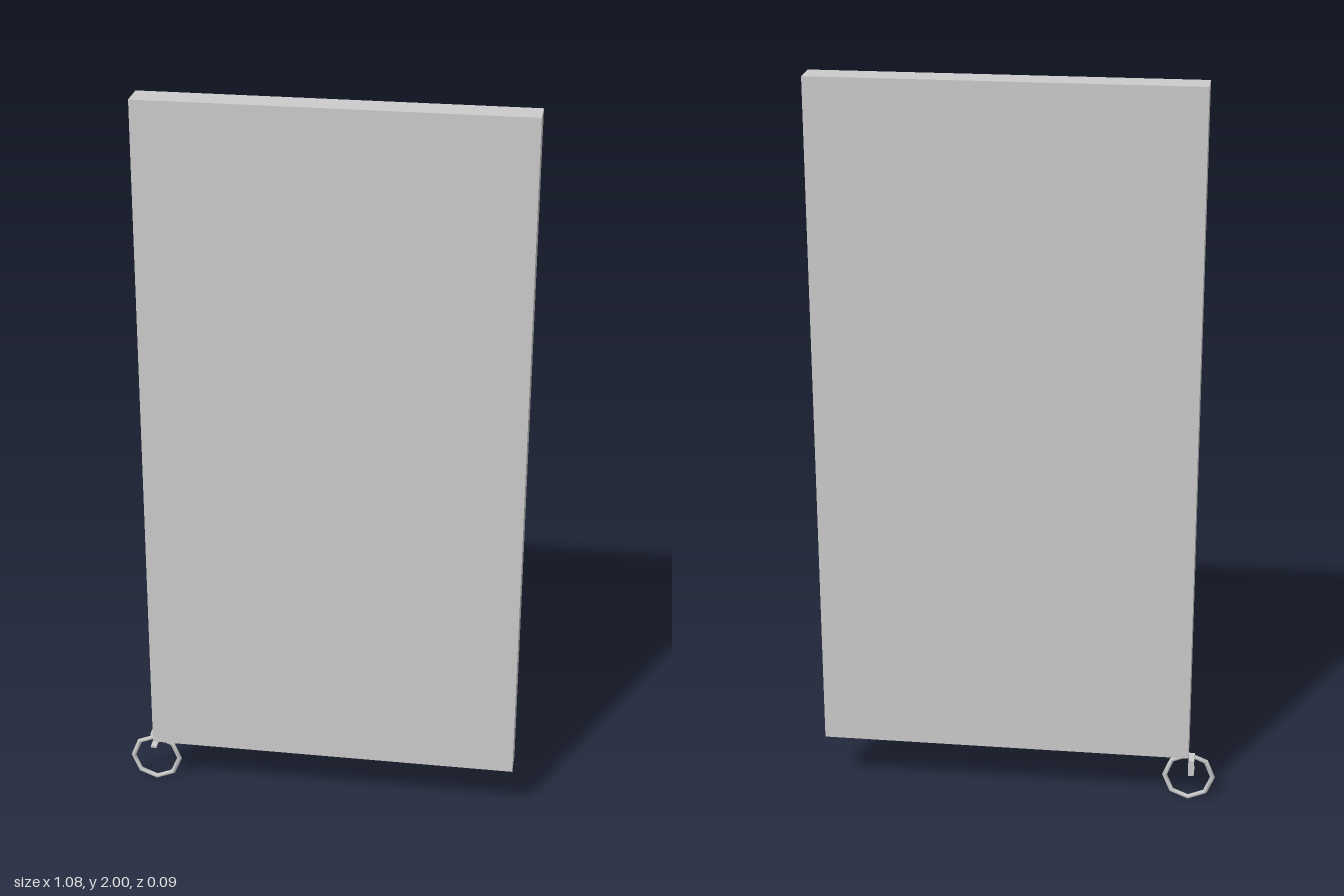
import * as THREE from 'three';

export function createModel() {
  const group = new THREE.Group();
  const material = new THREE.MeshStandardMaterial({ color: 0xcccccc });

  function add(name, geometry, x, y, z, parent = group) {
    const mesh = new THREE.Mesh(geometry, material);
    mesh.name = name;
    mesh.position.set(x, y, z);
    parent.add(mesh);
    return mesh;
  }

  // Flat upright slab
  add('panel', new THREE.BoxGeometry(1.008, 1.852, 0.08), 0.037, 1.074, 0.002);

  // Eight-sided ring hanging at the lower right corner
  add('ring', new THREE.TorusGeometry(0.066, 0.007, 6, 8), -0.468, 0.073, 0.001);

  // Small square hook, open at the front, reaching behind the ring
  const hook = new THREE.Group();
  hook.name = 'hook';
  group.add(hook);
  const width = 0.016, thick = 0.006;
  add('hookTop', new THREE.BoxGeometry(width, thick, 0.046), -0.476, 0.142, -0.023, hook);
  add('hookBack', new THREE.BoxGeometry(width, 0.046, thick), -0.476, 0.122, -0.043, hook);
  add('hookBottom', new THREE.BoxGeometry(width, thick, 0.046), -0.476, 0.102, -0.023, hook);

  return group;
}
